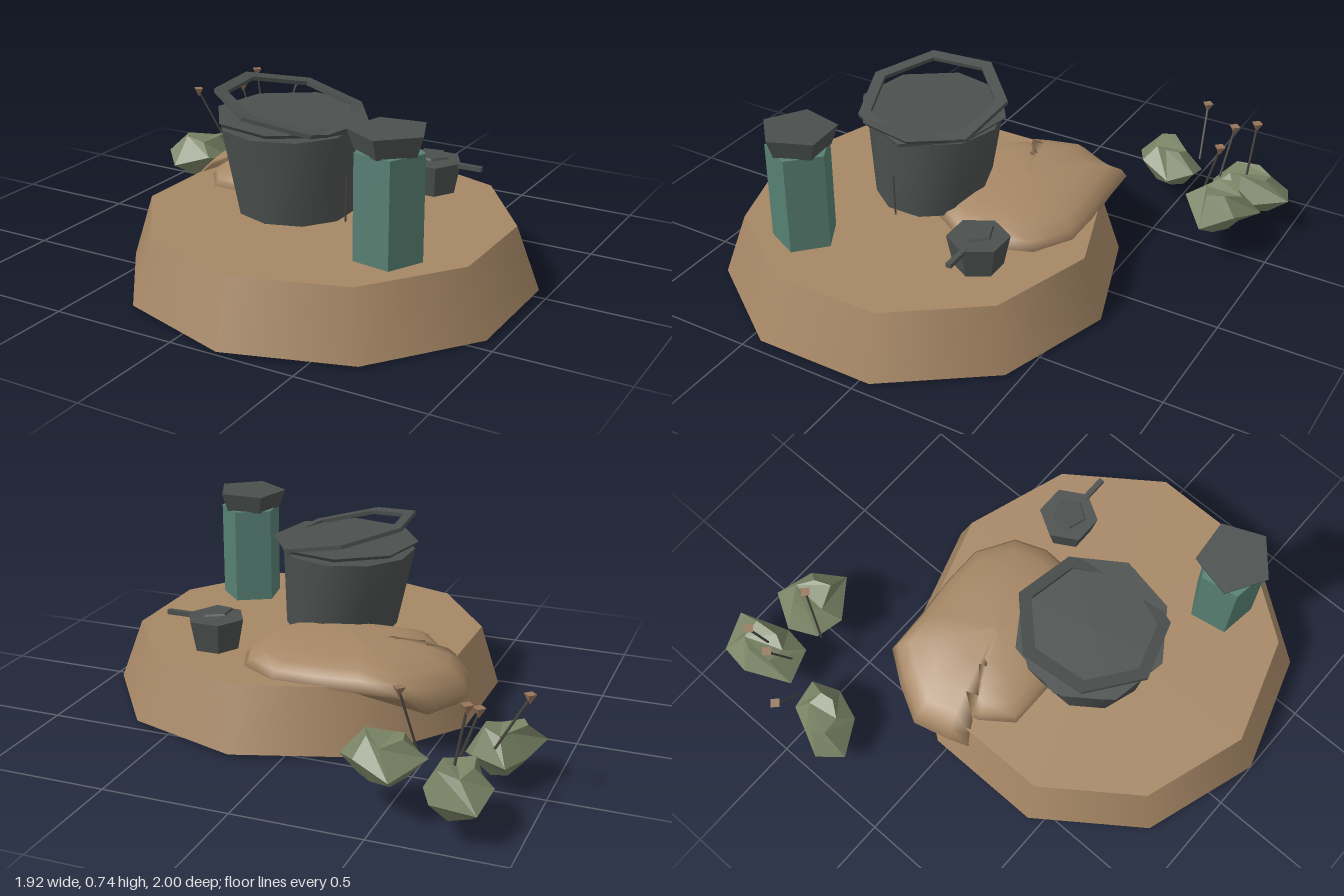
import * as THREE from 'three';
import { toCreasedNormals } from 'three/addons/utils/BufferGeometryUtils.js';

const mat = (name, color, extra = {}) => {
  const m = new THREE.MeshStandardMaterial({ color, ...extra });
  m.name = name;
  return m;
};
const rad = THREE.MathUtils.degToRad;

// Stack scaled copies of a ground outline; levels are [scale, height 0..1, twist], yAt maps to height
function loft(outline, [cx, cz], levels, yAt, flat) {
  const n = outline.length, pos = [], index = [];
  for (const [s, h, twist = 0] of levels) {
    outline.forEach(([x, z], i) => {
      const dx = (x - cx) * s, dz = (z - cz) * s, c = Math.cos(twist), k = Math.sin(twist);
      pos.push(cx + dx * c - dz * k, yAt(x, h, i), cz + dx * k + dz * c);
    });
  }
  for (let l = 0; l < levels.length - 1; l++) {
    for (let i = 0; i < n; i++) {
      const j = (i + 1) % n, a = l * n, b = a + n;
      index.push(a + i, b + i, b + j, a + i, b + j, a + j);
    }
  }
  // Close both ends with fans
  const last = (levels.length - 1) * n;
  for (let i = 1; i < n - 1; i++) {
    index.push(0, i, i + 1, last, last + i + 1, last + i);
  }
  let g = new THREE.BufferGeometry();
  g.setAttribute('position', new THREE.Float32BufferAttribute(pos, 3));
  g.setIndex(index);
  if (flat) g = g.toNonIndexed();
  g.computeVertexNormals();
  return g;
}

export function createModel() {
  const root = new THREE.Group();
  const sand = mat('sand', 0xa68765);
  const iron = mat('iron', 0x4b504e);
  const teal = mat('teal', 0x578073);
  const leaf = mat('leaf', 0x7a8365);
  const stemMat = mat('stem', 0x4a463f);
  const petal = mat('petal', 0x96755a, { side: THREE.DoubleSide });

  const add = (name, geo, material, x = 0, y = 0, z = 0, parent = root) => {
    const m = new THREE.Mesh(geo, material);
    m.name = name;
    m.position.set(x, y, z);
    parent.add(m);
    return m;
  };
  const rod = (name, from, to, r, material, parent = root) => {
    const a = new THREE.Vector3(...from), b = new THREE.Vector3(...to), d = b.clone().sub(a);
    const m = add(name, new THREE.CylinderGeometry(r, r, d.length(), 4), material, 0, 0, 0, parent);
    m.position.copy(a).add(b).multiplyScalar(0.5);
    m.quaternion.setFromUnitVectors(new THREE.Vector3(0, 1, 0), d.normalize());
    return m;
  };
  const prism = (top, bottom, h, sides, startDeg) =>
    toCreasedNormals(new THREE.CylinderGeometry(top, bottom, h, sides, 1, false, rad(startDeg)), rad(40));

  // Ten-sided ground block, top shifted slightly towards -x
  const ground = new THREE.CylinderGeometry(0.715, 0.8, 0.25, 10);
  ground.applyMatrix4(new THREE.Matrix4().makeShear(0, 0, -0.04, 0, 0, 0));
  add('ground', ground, sand, 0.19, 0.142, 0.2).rotation.z = -0.005;

  // Rounded mound that spills over the rim
  const moundOutline = [[-0.26, -0.4], [-0.08, -0.42], [0.1, -0.42], [0.25, -0.33], [0.3, -0.2], [0.29, 0],
    [0.2, 0.15], [0, 0.2], [-0.18, 0.2], [-0.35, 0.2], [-0.44, 0.08], [-0.5, -0.03], [-0.53, 0.1],
    [-0.56, 0.02], [-0.6, -0.13], [-0.52, -0.28], [-0.44, -0.39]];
  const moundY = (x, h) => {
    const rim = x < -0.46 ? 0.17 : 0.25;
    return rim + (0.365 - rim) * h;
  };
  add('mound', loft(moundOutline, [-0.12, -0.1],
    [[0.9, -0.1], [1, 0.1], [0.94, 0.42], [0.82, 0.66], [0.62, 0.84], [0.36, 0.95], [0.02, 1]],
    moundY, false), sand);

  // Large cauldron, leaning outwards on one side
  const pot = new THREE.Group();
  pot.name = 'cauldron';
  root.add(pot);
  const body = prism(0.27, 0.23, 0.33, 10, 0);
  body.applyMatrix4(new THREE.Matrix4().makeShear(0, 0, -0.1, 0, 0, 0));
  add('cauldronBody', body, iron, 0.045, 0.445, 0.24, pot);
  add('cauldronLid', prism(0.3, 0.29, 0.014, 8, 12), iron, 0.045, 0.64, 0.24, pot);

  // Thin tilted ring hovering above the lid
  const ringShape = new THREE.Shape();
  const hole = new THREE.Path();
  for (let i = 0; i < 7; i++) {
    const a = (i / 7) * Math.PI * 2 + 0.1, c = Math.cos(a), s = Math.sin(a);
    ringShape[i ? 'lineTo' : 'moveTo'](c * 0.3, s * 0.3);
    hole[i ? 'lineTo' : 'moveTo'](c * 0.25, s * 0.25);
  }
  ringShape.holes.push(hole);
  const ring = new THREE.ExtrudeGeometry(ringShape, { depth: 0.016, bevelEnabled: false });
  ring.rotateX(-Math.PI / 2);
  add('cauldronRing', ring, iron, 0.045, 0.675, 0.24, pot).rotation.set(-0.02, 0, -0.21);

  // Thin supports running down through the ground
  for (const [x, z] of [[-0.05, 0.27], [0, 0.35], [0.03, 0.15], [0.14, 0.25], [0.16, 0.33]]) {
    rod('cauldronLeg', [x, 0.005, z], [x, 0.3, z], 0.006, stemMat, pot);
  }
  rod('spike', [0.285, 0.005, 0.27], [0.298, 0.45, 0.27], 0.004, stemMat);

  // Five-sided tower with a flared cap
  add('towerShaft', prism(0.13, 0.13, 0.41, 5, 28), teal, 0.585, 0.46, 0.49);
  add('towerCap', prism(0.15, 0.122, 0.078, 5, 5), iron, 0.585, 0.7, 0.49).rotation.z = 0.02;

  // Small pot with lid and handle
  const small = new THREE.Group();
  small.name = 'smallPot';
  small.position.set(0.43, 0, -0.195);
  root.add(small);
  add('smallPotBody', prism(0.12, 0.095, 0.125, 6, 30), iron, 0, 0.34, 0, small);
  add('smallPotLid', prism(0.065, 0.07, 0.008, 5, 20), iron, 0, 0.422, 0.005, small).rotation.z = -0.06;
  add('smallPotHandle', new THREE.BoxGeometry(0.14, 0.018, 0.022), iron, 0.14, 0.395, 0, small);

  // Crumpled low-poly bushes: outline, centre, bottom and top heights
  const bushes = [
    { outline: [[-0.87, -0.95], [-0.72, -1], [-0.64, -0.81], [-0.66, -0.68], [-0.8, -0.64], [-0.89, -0.81]],
      centre: [-0.76, -0.81], low: 0.08, high: 0.25 },
    { outline: [[-0.56, -0.94], [-0.41, -0.88], [-0.32, -0.77], [-0.48, -0.64], [-0.59, -0.68], [-0.65, -0.78]],
      centre: [-0.49, -0.79], low: 0.14, high: 0.3 },
    { outline: [[-0.86, -0.56], [-0.74, -0.57], [-0.69, -0.47], [-0.74, -0.33], [-0.88, -0.26], [-0.96, -0.34],
      [-0.91, -0.45]], centre: [-0.82, -0.43], low: 0.07, high: 0.24 },
  ];
  for (const { outline, centre, low, high } of bushes) {
    const yAt = (x, h, i) => low + (high - low) * (h + (i % 2 ? 0.12 : -0.12) * Math.sin(h * Math.PI)
      - (h === 1 && i % 3 === 0 ? 0.12 : 0));
    add('bush', loft(outline, centre, [[0.5, 0, -0.2], [1, 0.45], [0.5, 1, 0.3]], yAt, true), leaf);
  }

  // Flowers: thin stems with small inverted cones
  const flowers = [
    [[-0.82, 0.2, -0.56], [-0.93, 0.4, -0.535]],
    [[-0.73, 0.2, -0.69], [-0.8, 0.4, -0.71]],
    [[-0.74, 0.2, -0.8], [-0.785, 0.45, -0.81]],
    [[-0.58, 0.18, -0.67], [-0.53, 0.45, -0.75]],
  ];
  for (const [base, tip] of flowers) {
    rod('flowerStem', base, tip, 0.005, stemMat);
    const cone = new THREE.ConeGeometry(0.024, 0.04, 4);
    cone.rotateX(Math.PI);
    add('flowerHead', toCreasedNormals(cone, 0.5), petal, tip[0], tip[1] - 0.005, tip[2]);
  }
  return root;
}
